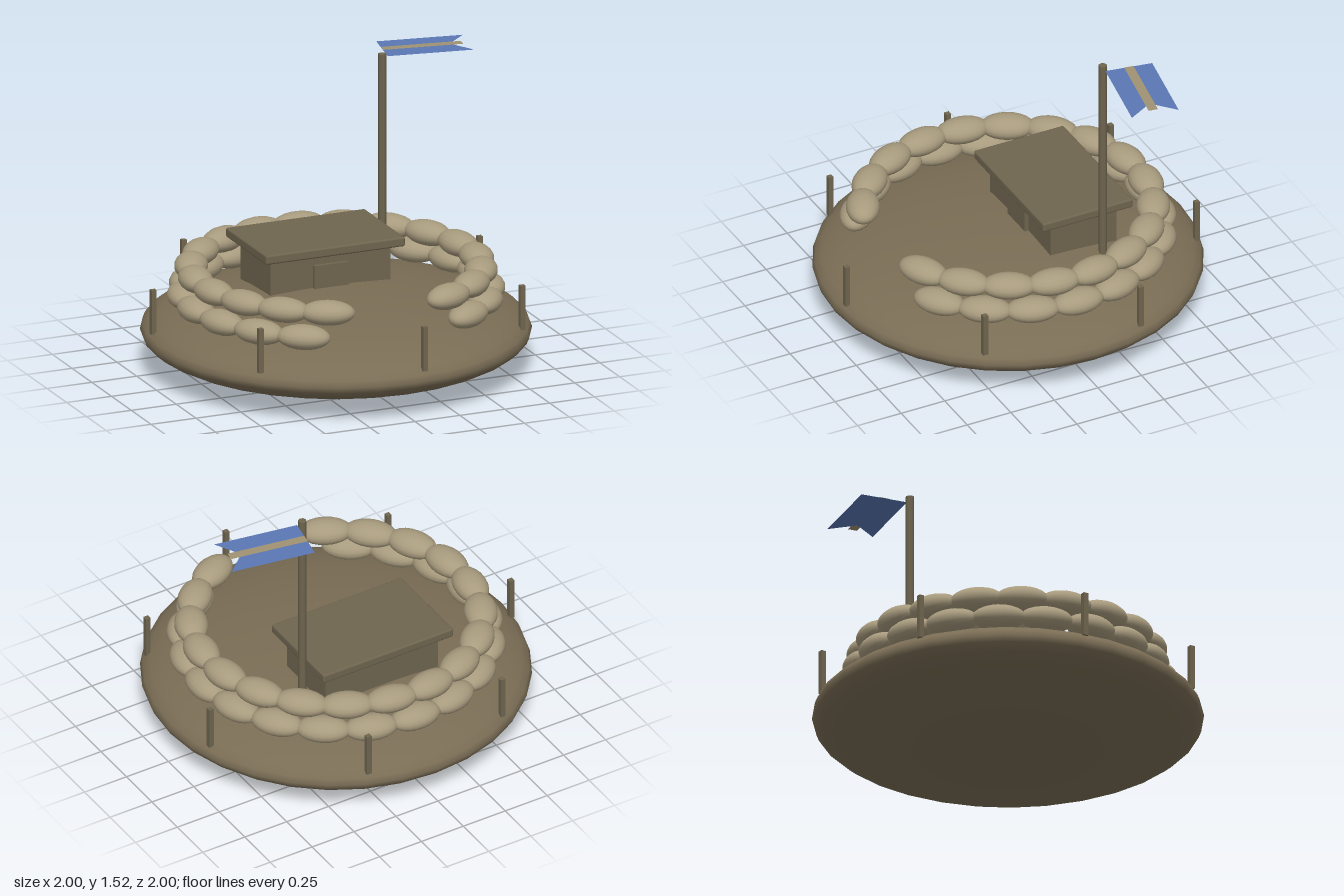
import * as THREE from 'three';
import { RoundedBoxGeometry } from 'three/addons/geometries/RoundedBoxGeometry.js';

const mat = (name, color, side = THREE.FrontSide) => {
  const m = new THREE.MeshStandardMaterial({ color, side });
  m.name = name;
  return m;
};

export function createModel() {
  const root = new THREE.Group();
  root.name = 'sandbagOutpost';

  const earth = mat('earth', 0x7a6d55);
  const sack = mat('sackcloth', 0xa89b7e);
  const timber = mat('timber', 0x6f654f);
  const cloth = mat('blueCloth', 0x5b78b4, THREE.DoubleSide);
  const trim = mat('tanTrim', 0xa09172, THREE.DoubleSide);

  const add = (parent, name, geo, material, x = 0, y = 0, z = 0) => {
    const m = new THREE.Mesh(geo, material);
    m.name = name;
    m.position.set(x, y, z);
    parent.add(m);
    return m;
  };

  // Flattened earth mound
  add(root, 'mound', new THREE.SphereGeometry(1, 32, 20).scale(1, 0.205, 1), earth, 0, 0.206, 0);

  // Two staggered sandbag rings, open at the front
  const bagGeo = new THREE.SphereGeometry(1, 18, 12).rotateZ(Math.PI / 2).scale(0.14, 0.064, 0.087);
  const bagRing = (name, radius, y, startDeg, count) => {
    const ring = new THREE.Group();
    ring.name = name;
    for (let i = 0; i < count; i++) {
      const a = THREE.MathUtils.degToRad(startDeg + i * 18); // measured from the back
      const bag = add(ring, 'sandbag', bagGeo, sack, Math.sin(a) * radius, y, -Math.cos(a) * radius);
      bag.rotation.y = -a;
    }
    root.add(ring);
  };
  bagRing('lowerSandbags', 0.78, 0.404, -144, 17);
  bagRing('upperSandbags', 0.74, 0.527, -153, 18);

  // Hut with slab roof and door
  const hut = new THREE.Group();
  hut.name = 'hut';
  root.add(hut);
  add(hut, 'hutWalls', new THREE.BoxGeometry(0.67, 0.27, 0.38), timber, 0, 0.465, -0.26);
  add(hut, 'hutRoof', new RoundedBoxGeometry(0.775, 0.05, 0.515, 2, 0.01), timber, 0, 0.613, -0.26);
  add(hut, 'hutDoor', new THREE.BoxGeometry(0.19, 0.16, 0.025), timber, -0.003, 0.452, -0.06);

  // Seven perimeter stakes
  const stakeGeo = new THREE.BoxGeometry(0.027, 0.237, 0.027);
  for (let i = 0; i < 7; i++) {
    const a = THREE.MathUtils.degToRad(85.8 + (i * 360) / 7);
    add(root, 'stake', stakeGeo, timber, Math.cos(a) * 0.965, 0.372, Math.sin(a) * 0.965);
  }

  // Flagpole
  add(root, 'flagpole', new THREE.CylinderGeometry(0.022, 0.022, 1.17, 8), timber, 0.405, 0.935, -0.335);

  // Swallow-tailed pennant lying flat, with a central stripe
  const flag = new THREE.Group();
  flag.name = 'flag';
  flag.position.set(0.457, 1.503, -0.457);
  flag.rotation.y = -THREE.MathUtils.degToRad(10);
  root.add(flag);
  const flatShape = (pts) =>
    new THREE.ShapeGeometry(new THREE.Shape(pts.map(([x, y]) => new THREE.Vector2(x, y)))).rotateX(-Math.PI / 2);
  add(flag, 'flagCloth', flatShape([[0, -0.125], [0.455, -0.125], [0.355, 0], [0.455, 0.125], [0, 0.125]]), cloth);
  add(flag, 'flagStripe', flatShape([[0, -0.025], [0.42, -0.025], [0.42, 0.025], [0, 0.025]]), trim, 0, 0.002, 0);

  return root;
}
